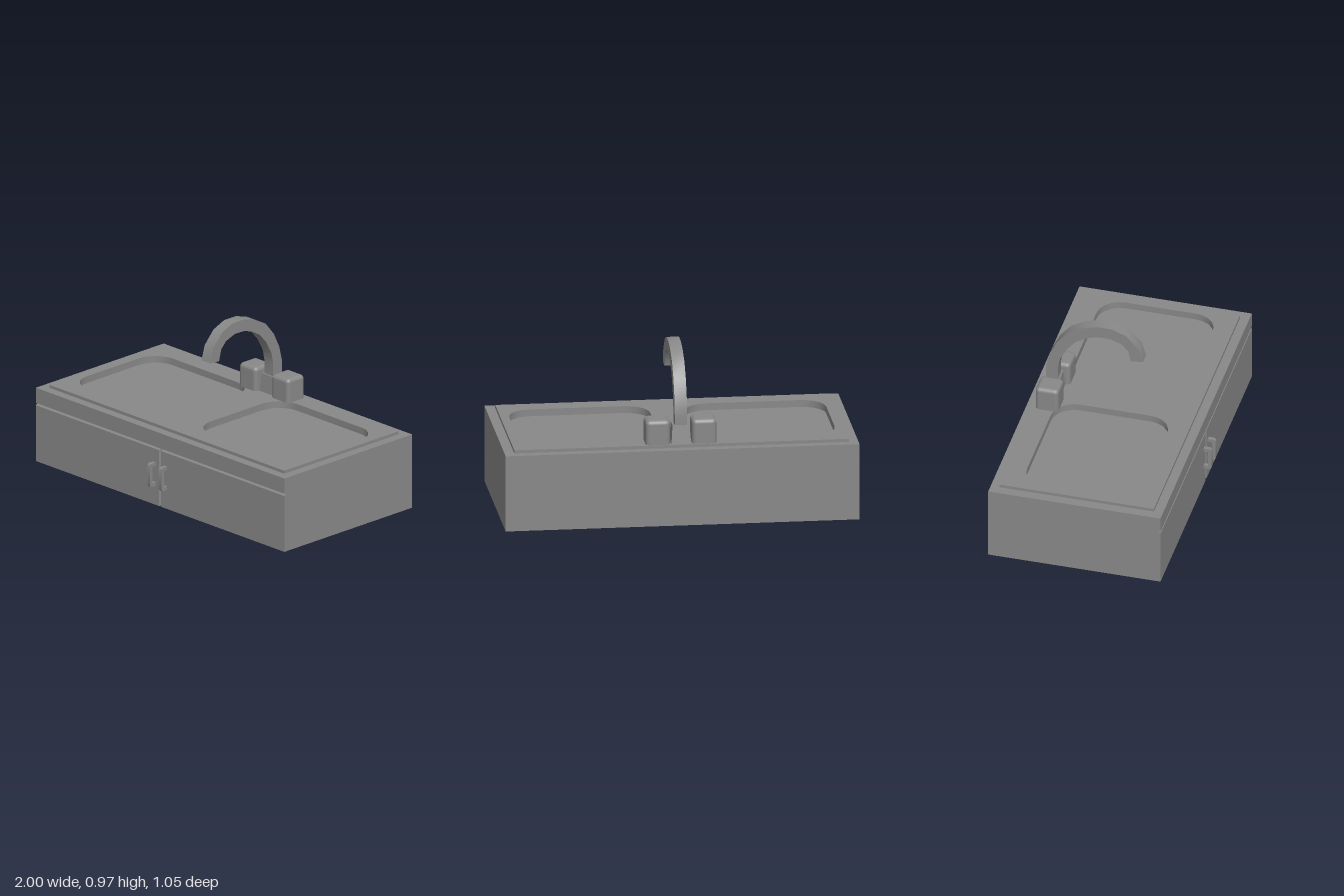
import * as THREE from 'three';
import { RoundedBoxGeometry } from 'three/addons/geometries/RoundedBoxGeometry.js';
import { toCreasedNormals } from 'three/addons/utils/BufferGeometryUtils.js';

const solid = new THREE.MeshStandardMaterial({ color: 0x888888 });
const sheet = new THREE.MeshStandardMaterial({ color: 0x888888, side: THREE.DoubleSide });

function add(parent, name, geometry, material = solid) {
  const mesh = new THREE.Mesh(geometry, material);
  mesh.name = name;
  parent.add(mesh);
  return mesh;
}

// Skin a stack of closed [x, z] outlines, each at its own height
function loft(rings) {
  const pos = [];
  for (let r = 0; r + 1 < rings.length; r++) {
    const [lo, hi] = [rings[r], rings[r + 1]];
    const n = lo.loop.length;
    for (let i = 0; i < n; i++) {
      const j = (i + 1) % n;
      const a = [lo.loop[i][0], lo.y, lo.loop[i][1]];
      const b = [lo.loop[j][0], lo.y, lo.loop[j][1]];
      const c = [hi.loop[j][0], hi.y, hi.loop[j][1]];
      const d = [hi.loop[i][0], hi.y, hi.loop[i][1]];
      pos.push(...a, ...b, ...c, ...a, ...c, ...d);
    }
  }
  const g = new THREE.BufferGeometry();
  g.setAttribute('position', new THREE.Float32BufferAttribute(pos, 3));
  g.computeVertexNormals();
  return g;
}

const rect = (x0, x1, z0, z1) => [[x0, z0], [x0, z1], [x1, z1], [x1, z0]];

// Rectangle with rounded corners, same turning direction as rect
function roundedRect(x0, x1, z0, z1, r, steps = 5) {
  const corners = [
    [x0 + r, z0 + r, -Math.PI / 2], [x0 + r, z1 - r, -Math.PI],
    [x1 - r, z1 - r, Math.PI / 2], [x1 - r, z0 + r, 0]];
  const out = [];
  for (const [cx, cz, start] of corners) {
    for (let i = 0; i <= steps; i++) {
      const a = start - (i / steps) * Math.PI / 2;
      out.push([cx + r * Math.cos(a), cz + r * Math.sin(a)]);
    }
  }
  return out;
}

// Flat horizontal sheet facing up, with optional holes
function flat(loop, y, holes = []) {
  const pts = l => l.map(([x, z]) => new THREE.Vector2(x, -z));
  const shape = new THREE.Shape(pts(loop));
  shape.holes = holes.map(h => new THREE.Path(pts(h)));
  return new THREE.ShapeGeometry(shape).rotateX(-Math.PI / 2).translate(0, y, 0);
}

// Side profile of [z, y] points given thickness along x, smooth along its bends
function sideExtrude(points, width, x) {
  const shape = new THREE.Shape(points.map(([z, y]) => new THREE.Vector2(-z, y)));
  const g = new THREE.ExtrudeGeometry(shape, { depth: width, bevelEnabled: false })
    .translate(0, 0, -width / 2).rotateY(Math.PI / 2).translate(x, 0, 0);
  return toCreasedNormals(g, 1);
}

// Box with rounded top and sides whose underside is cut flat at the given height
function knobGeometry(x, bottom) {
  const g = new RoundedBoxGeometry(0.138, 0.175, 0.134, 3, 0.024).translate(x, 0.51, -0.396);
  const p = g.attributes.position;
  for (let i = 0; i < p.count; i++) p.setY(i, Math.max(p.getY(i), bottom));
  return g;
}

export function createModel() {
  const sink = new THREE.Group();
  sink.name = 'sinkCabinet';
  const back = -0.522, front = 0.478, inset = 0.464, top = 0.458;

  // Open-bottomed cabinet, with a door gap and a groove below the counter
  const outline = (face, gap) => [
    [-1, back], [-1, face], [-0.009, face], [-0.004, gap],
    [0.004, gap], [0.009, face], [1, face], [1, back]];
  const doors = outline(front, inset);
  const counter = rect(-1, 1, back, front);
  add(sink, 'cabinetShell', loft([
    { y: 0, loop: doors },
    { y: 0.335, loop: doors },
    { y: 0.347, loop: outline(inset, inset) },
    { y: 0.349, loop: outline(front, front) }]), sheet);
  add(sink, 'counterEdge', loft([{ y: 0.349, loop: counter }, { y: 0.44, loop: counter }]), sheet);

  // Counter top and raised sink plate
  const plate = rect(-0.945, 0.945, -0.47, 0.425);
  const basins = [
    roundedRect(-0.895, -0.1, -0.36, 0.315, 0.135),
    roundedRect(0.1, 0.895, -0.36, 0.315, 0.135)];
  add(sink, 'counterRim', flat(counter, 0.44, [plate]), sheet);
  add(sink, 'plateEdge', loft([{ y: 0.44, loop: plate }, { y: top, loop: plate }]), sheet);
  add(sink, 'sinkPlate', flat(plate, top, basins), sheet);

  // Two shallow basins
  basins.forEach((loop, i) => {
    const basin = new THREE.Group();
    basin.name = i ? 'leftBasin' : 'rightBasin';
    const wall = loft([{ y: top, loop }, { y: 0.418, loop }]);
    add(basin, 'basinWall', toCreasedNormals(wall, 1), sheet);
    add(basin, 'basinFloor', flat(loop, 0.418), sheet);
    sink.add(basin);
  });

  // Door handles and tap knobs, mirrored
  const handle = [
    [0.474, 0.115], [0.51, 0.115], [0.519, 0.119], [0.523, 0.128], [0.523, 0.242],
    [0.519, 0.251], [0.51, 0.255], [0.474, 0.255], [0.474, 0.235], [0.503, 0.235],
    [0.503, 0.137], [0.474, 0.137]];
  for (const s of [1, -1]) {
    const side = s > 0 ? 'left' : 'right';
    add(sink, side + 'DoorHandle', sideExtrude(handle, 0.022, s * 0.046));
    add(sink, side + 'TapKnob', knobGeometry(s * 0.131, top));
  }

  // Tapered spout base
  const baseTop = rect(-0.048, 0.048, -0.445, -0.363);
  add(sink, 'spoutBase', loft([
    { y: top, loop: rect(-0.056, 0.056, -0.462, -0.355) },
    { y: 0.565, loop: baseTop }]));
  add(sink, 'spoutBaseTop', flat(baseTop, 0.565));

  // Arched spout
  const spout = [
    [-0.443, 0.56], [-0.443, 0.594], [-0.44, 0.65], [-0.42, 0.732], [-0.378, 0.819],
    [-0.314, 0.897], [-0.232, 0.942], [-0.148, 0.967], [-0.056, 0.967], [0.025, 0.934],
    [0.095, 0.858], [0.12, 0.773], [0.05, 0.768], [0.034, 0.834], [-0.003, 0.873],
    [-0.073, 0.899], [-0.146, 0.897], [-0.207, 0.878], [-0.269, 0.841], [-0.319, 0.783],
    [-0.359, 0.709], [-0.373, 0.642], [-0.373, 0.56]];
  add(sink, 'spout', sideExtrude(spout, 0.07, 0));

  return sink;
}
